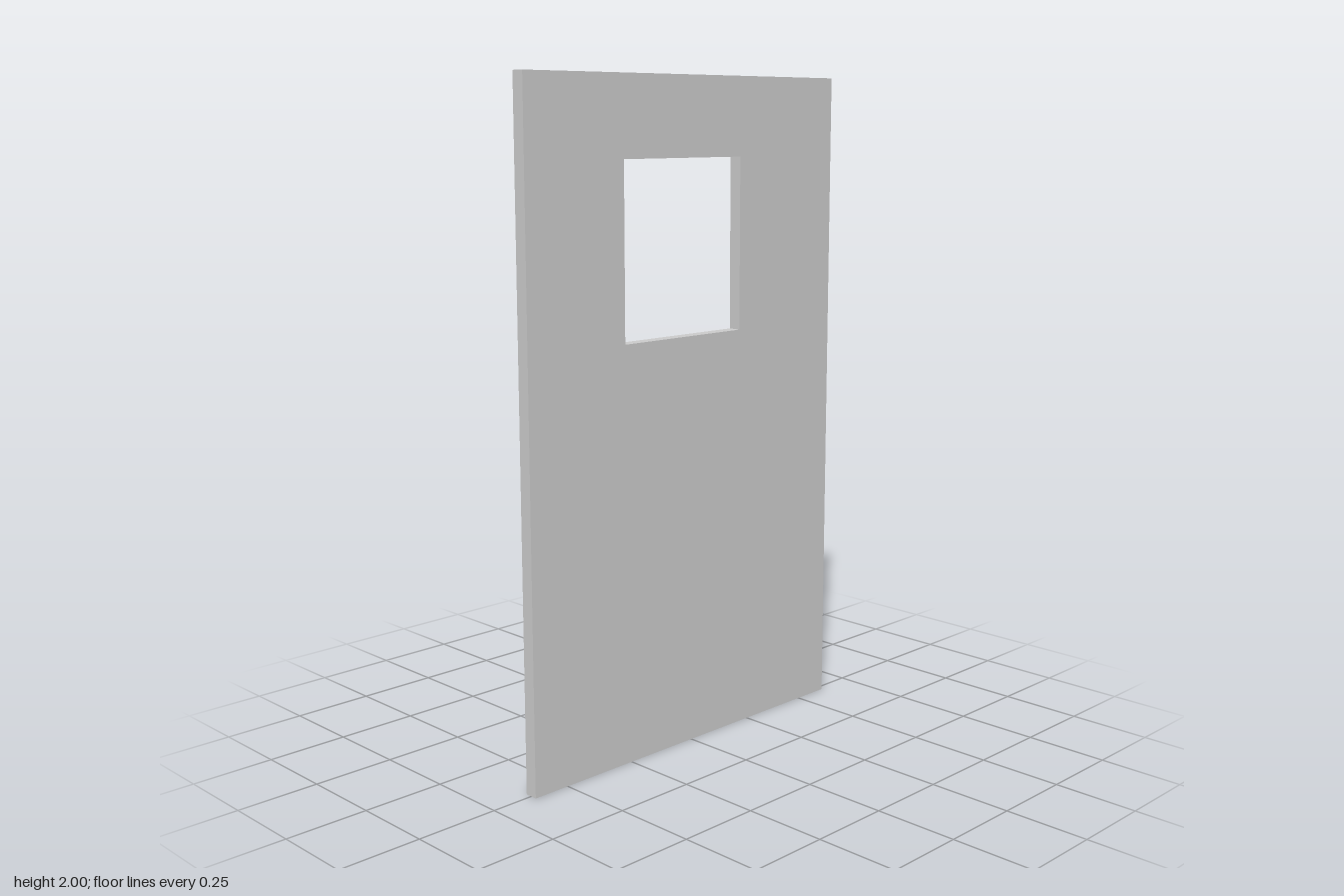
import * as THREE from 'three';

const HALF_WIDTH = 0.618, HEIGHT = 2, THICKNESS = 0.04;
const WINDOW = { left: -0.264, right: 0.205, bottom: 1.25, top: 1.766 };

// Closed rectangular outline, usable as a shape or a hole
function rectangle(PathType, x0, y0, x1, y1) {
  return new PathType([[x0, y0], [x1, y0], [x1, y1], [x0, y1]].map(([x, y]) => new THREE.Vector2(x, y)));
}

export function createModel() {
  const group = new THREE.Group();
  group.name = 'door';

  // Flat door panel with an off-centre window opening
  const outline = rectangle(THREE.Shape, -HALF_WIDTH, 0, HALF_WIDTH, HEIGHT);
  outline.holes.push(rectangle(THREE.Path, WINDOW.left, WINDOW.bottom, WINDOW.right, WINDOW.top));
  const geometry = new THREE.ExtrudeGeometry(outline, { depth: THICKNESS, bevelEnabled: false });
  geometry.translate(0, 0, -THICKNESS / 2);

  const panel = new THREE.Mesh(geometry, new THREE.MeshStandardMaterial({ color: 0xcccccc }));
  panel.name = 'doorPanel';
  group.add(panel);
  return group;
}
